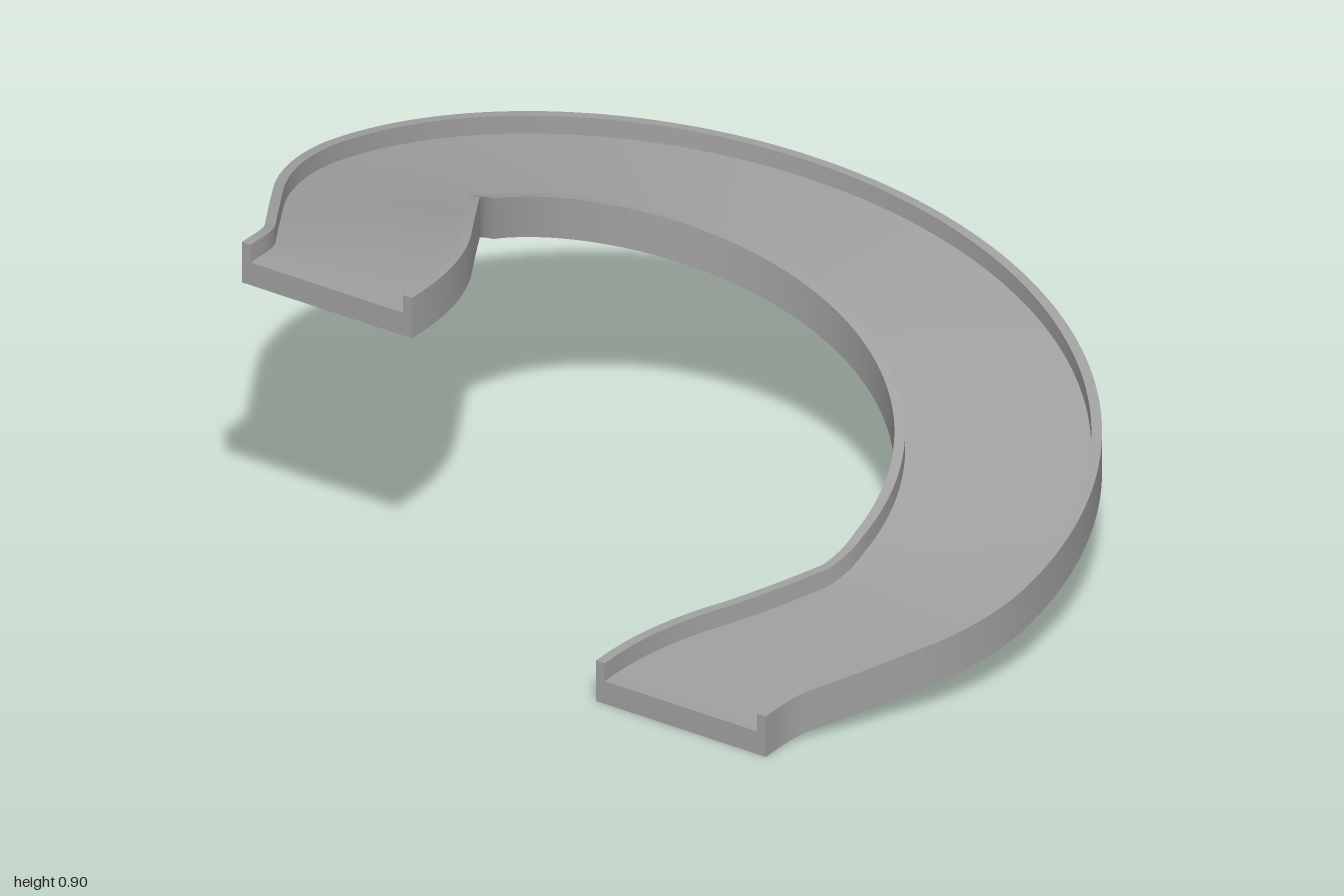
import * as THREE from 'three';

const RADIUS = 0.7575, CENTRE_X = -0.155;      // main half-turn
const HALF_W = 0.2425, WALL = 0.025;           // ramp half width, kerb thickness
const FLOOR_H = 0.06, WALL_H = 0.107;
const TOP = 0.798, RISE = 0.285;               // height of the upper end, rise over a quarter turn
const BEND = 0.42, BEND_ANGLE = 31 * Math.PI / 180;

// Stations of the upper half: quarter turn, S-bend, short straight
function upperHalf() {
  const runs = [
    [RADIUS * Math.PI / 2, Math.PI / 2, 48],
    [BEND * BEND_ANGLE, BEND_ANGLE, 14],
    [0.257, 0, 10],
    [BEND * BEND_ANGLE, -BEND_ANGLE, 14],
    [0.037, 0, 2],
  ];
  const arc = runs[0][0];
  const tail = runs.slice(1).reduce((sum, r) => sum + r[0], 0);
  const height = (s) => {
    if (s <= arc) return TOP / 2 + RISE * s / arc;
    const t = Math.min(1, (s - arc) / tail), y0 = TOP / 2 + RISE;
    const ease = t * t * (3 - 2 * t);
    return y0 + (TOP - y0) * ease + (RISE / arc) * tail * t * (1 - t) ** 2;
  };
  let x = CENTRE_X + RADIUS, z = 0, angle = 0, s = 0;
  const list = [];
  const add = () => list.push({ x, y: height(s), z, nx: Math.cos(angle), nz: -Math.sin(angle) });
  add();
  for (const [length, turn, n] of runs) {
    for (let i = 0; i < n; i++) {
      const mid = angle + turn / n / 2;
      x -= Math.sin(mid) * length / n;
      z -= Math.cos(mid) * length / n;
      angle += turn / n;
      s += length / n;
      add();
    }
  }
  return list;
}

// Full path: the lower half is the upper one turned over
function fullPath() {
  const up = upperHalf();
  const down = up.slice(1).reverse()
    .map((p) => ({ x: p.x, y: TOP - p.y, z: -p.z, nx: p.nx, nz: -p.nz }));
  return [...down, ...up];
}

// Sweep a counterclockwise section of [outward, up] points; hidden edges are skipped
function sweep(path, section, hiddenEdges) {
  const pos = [], index = [];
  const put = (p, [o, h]) => pos.push(p.x + p.nx * o, p.y + h, p.z + p.nz * o);
  section.forEach((a, k) => {
    if (hiddenEdges.includes(k)) return;
    const b = section[(k + 1) % section.length];
    const base = pos.length / 3;
    path.forEach((p, i) => {
      put(p, a);
      put(p, b);
      if (i === 0) return;
      const v = base + (i - 1) * 2;
      index.push(v, v + 2, v + 1, v + 1, v + 2, v + 3);
    });
  });
  // End caps
  [path[0], path[path.length - 1]].forEach((p, end) => {
    const base = pos.length / 3;
    section.forEach((c) => put(p, c));
    for (let k = 1; k < section.length - 1; k++) {
      if (end) index.push(base, base + k + 1, base + k);
      else index.push(base, base + k, base + k + 1);
    }
  });
  const geo = new THREE.BufferGeometry();
  geo.setAttribute('position', new THREE.Float32BufferAttribute(pos, 3));
  geo.setIndex(index);
  geo.computeVertexNormals();
  return geo;
}

export function createModel() {
  const group = new THREE.Group();
  group.name = 'curvedRamp';
  const grey = new THREE.MeshStandardMaterial({ color: 0xa0a0a0 });
  grey.name = 'grey';
  const path = fullPath();
  const a = HALF_W - WALL, b = HALF_W;
  const add = (name, section, hidden) => {
    const mesh = new THREE.Mesh(sweep(path, section, hidden), grey);
    mesh.name = name;
    group.add(mesh);
  };
  add('rampFloor', [[-a, 0], [a, 0], [a, FLOOR_H], [-a, FLOOR_H]], [1, 3]);
  add('outerWall', [[a, 0], [b, 0], [b, WALL_H], [a, WALL_H], [a, FLOOR_H]], [4]);
  add('innerWall', [[-a, FLOOR_H], [-a, WALL_H], [-b, WALL_H], [-b, 0], [-a, 0]], [4]);
  return group;
}
